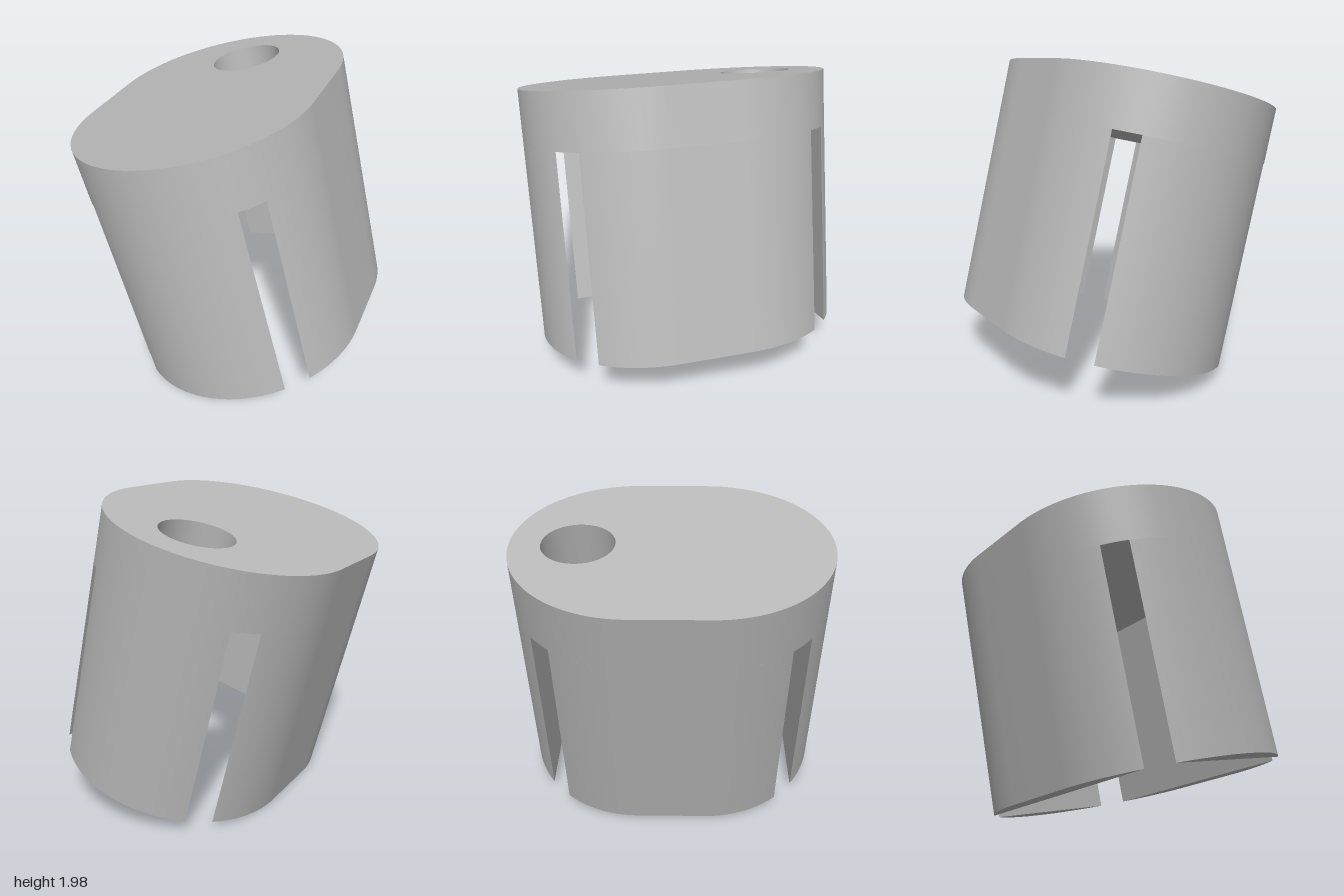
import * as THREE from 'three';
import { toCreasedNormals } from 'three/addons/utils/BufferGeometryUtils.js';

const R = 0.77, OFF = 0.23;            // oval: end radius and offset of the end centres
const HEIGHT = 1.66, LEG = 1.31;       // total height and leg length
const BOX_X = 0.602, BOX_Z = 0.832;    // half sizes of the rectangular cavity

export function createModel() {
  const grey = new THREE.MeshStandardMaterial({ color: 0xb8b8b8 });
  grey.name = 'grey';

  const model = new THREE.Group();
  model.name = 'slottedPlug';
  const body = new THREE.Group();
  body.name = 'body';
  body.position.set(0.202, 0.187, 0);
  body.rotation.z = Math.atan2(0.375, 1.495);
  model.add(body);

  // Upright prism from a plan shape
  const addPrism = (name, shape, y, height, turn = 0) => {
    const geo = new THREE.ExtrudeGeometry(shape, { depth: height, bevelEnabled: false, curveSegments: 64 });
    geo.rotateX(-Math.PI / 2);
    const mesh = new THREE.Mesh(toCreasedNormals(geo, 0.5), grey);
    mesh.name = name;
    mesh.position.y = y;
    mesh.rotation.y = turn;
    body.add(mesh);
  };

  // Oval cap with a round through hole near the back
  const cap = new THREE.Shape();
  cap.absarc(0, OFF, R, 0, Math.PI, false);
  cap.absarc(0, -OFF, R, Math.PI, 2 * Math.PI, false);
  cap.closePath();
  const hole = new THREE.Path();
  hole.absarc(0, 0.575, 0.23, 0, 2 * Math.PI, true);
  cap.holes.push(hole);
  addPrism('cap', cap, LEG, HEIGHT - LEG);

  // Side legs: flat inner face, oval outer face
  const a = Math.acos(BOX_X / R);
  const side = new THREE.Shape();
  side.absarc(0, -OFF, R, -a, 0, false);
  side.absarc(0, OFF, R, 0, a, false);
  side.closePath();
  addPrism('leftLeg', side, 0, LEG);
  addPrism('rightLeg', side, 0, LEG, Math.PI);

  // Front and back legs
  const b = Math.asin((BOX_Z - OFF) / R);
  const end = new THREE.Shape();
  end.absarc(0, OFF, R, b, Math.PI - b, false);
  end.closePath();
  addPrism('backLeg', end, 0, LEG);
  addPrism('frontLeg', end, 0, LEG, Math.PI);

  return model;
}
